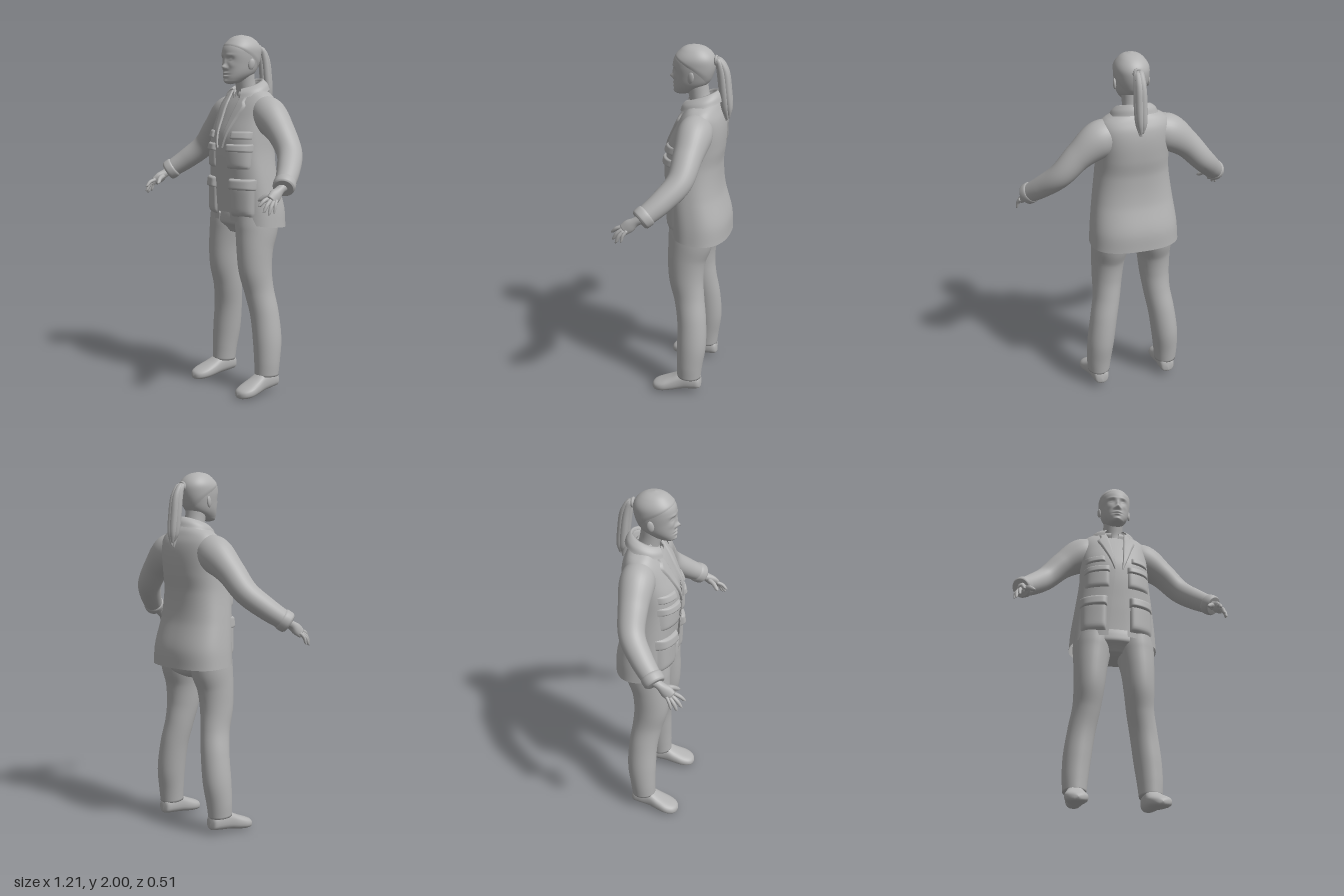
import * as THREE from 'three';
import { mergeVertices } from 'three/addons/utils/BufferGeometryUtils.js';

const grey = new THREE.MeshStandardMaterial({ color: 0xb2b2b2, side: THREE.DoubleSide });
grey.name = 'plain grey';
const V = (x, y, z) => new THREE.Vector3(x, y, z);
const spow = (c, e) => Math.sign(c) * Math.abs(c) ** e;
const TAU = Math.PI * 2;

// Smooth interpolation of rows [key, a, b, ...] by key
function track(rows) {
  const slope = (i, k) => {
    const a = rows[Math.max(i - 1, 0)], b = rows[Math.min(i + 1, rows.length - 1)];
    return (b[k] - a[k]) / (b[0] - a[0]);
  };
  return t => {
    let i = 0;
    while (i < rows.length - 2 && t > rows[i + 1][0]) i++;
    const p = rows[i], q = rows[i + 1], h = q[0] - p[0];
    const s = Math.min(1, Math.max(0, (t - p[0]) / h)), s2 = s * s, s3 = s2 * s;
    return p.slice(1).map((_, j) => {
      const k = j + 1;
      return p[k] * (2 * s3 - 3 * s2 + 1) + q[k] * (3 * s2 - 2 * s3)
        + h * (slope(i, k) * (s3 - 2 * s2 + s) + slope(i + 1, k) * (s3 - s2));
    });
  };
}

// Surface from a function of u and v in 0..1
function grid(fn, nu, nv) {
  const pos = [], idx = [];
  for (let j = 0; j <= nv; j++) for (let i = 0; i <= nu; i++) pos.push(...fn(i / nu, j / nv).toArray());
  for (let j = 0; j < nv; j++) for (let i = 0; i < nu; i++) {
    const a = j * (nu + 1) + i, d = a + nu + 1;
    idx.push(a, a + 1, d + 1, a, d + 1, d);
  }
  let g = new THREE.BufferGeometry();
  g.setAttribute('position', new THREE.Float32BufferAttribute(pos, 3));
  g.setIndex(idx);
  g = mergeVertices(g, 1e-5);
  g.computeVertexNormals();
  return g;
}

// Closed tube along points [x, y, z, sideRadius, frontRadius]
function limb(pts, nu = 24, nv = 40) {
  const curve = new THREE.CatmullRomCurve3(pts.map(p => V(p[0], p[1], p[2])));
  const radii = track(pts.map((p, i) => [i / (pts.length - 1), p[3], p[4] ?? p[3]]));
  return grid((u, v) => {
    const t = Math.min(1, Math.max(0, (v * nv - 1) / (nv - 2)));
    const c = curve.getPoint(t);
    if (v === 0 || v === 1) return c;
    const T = curve.getTangent(t), side = T.clone().cross(V(0, 0, 1)).normalize(), up = side.clone().cross(T);
    const [rs, ru] = radii(t), a = -u * TAU;
    return c.addScaledVector(side, rs * Math.cos(a)).addScaledVector(up, ru * Math.sin(a));
  }, nu, nv);
}

function mirrored(geo) {
  const g = geo.clone().scale(-1, 1, 1), ix = g.index.array;
  for (let i = 0; i < ix.length; i += 3) [ix[i], ix[i + 1]] = [ix[i + 1], ix[i]];
  g.computeVertexNormals();
  return g;
}

// Torso: y -> half width, front z, back z
const torso = track([[0.95, 0.25, 0.075, -0.255], [1.05, 0.243, 0.08, -0.25], [1.2, 0.223, 0.09, -0.21],
  [1.35, 0.203, 0.1, -0.2], [1.45, 0.198, 0.095, -0.212], [1.55, 0.198, 0.055, -0.215],
  [1.62, 0.195, 0.02, -0.205], [1.665, 0.17, -0.01, -0.185], [1.69, 0.125, -0.025, -0.17], [1.715, 0.07, -0.04, -0.14]]);
const opening = track([[0.95, 0.056], [1.2, 0.036], [1.4, 0.02], [1.55, 0.033], [1.68, 0.055], [1.72, 0.055]]);
const N = 2.4;
function torsoPoint(t, y, inset = 0) {
  const [rx, zf, zb] = torso(y), c = (zf + zb) / 2, rz = (zf - zb) / 2 - inset;
  const hem = 0.02 * Math.max(0, 1 - (y - 0.95) / 0.2) * (Math.cos(t) * 0.9 + 0.3 * Math.cos(2 * t));
  return V((rx - inset) * spow(Math.sin(t), 2 / N), y + hem, c + rz * spow(Math.cos(t), 2 / N));
}
function frontZ(x, y) {
  const [rx, zf, zb] = torso(y);
  return (zf + zb) / 2 + (zf - zb) / 2 * Math.max(0, 1 - Math.abs(x / rx) ** N) ** (1 / N);
}

// Padded panel on the jacket front
const pocket = (x0, x1, y0, y1, h) => grid((u, v) => {
  const x = x0 + (x1 - x0) * u, y = y0 + (y1 - y0) * v;
  const pad = (1 - (2 * u - 1) ** 8) * (1 - (2 * v - 1) ** 8) * (1.15 - 0.4 * v);
  return V(x, y, frontZ(x, y) - 0.004 + h * pad);
}, 18, 14);

// Folded collar around the neck
function collar(rTop, rLow, yTop, drop, gap) {
  const fold = track([[0, rLow, -drop], [0.5, (rLow + rTop) / 2 + 0.008, -drop * 0.35], [0.75, rTop, 0], [1, rTop - 0.012, -0.05]]);
  return grid((u, v) => {
    const t = gap + u * (TAU - 2 * gap), [r, dy] = fold(v);
    return V(r * Math.sin(t), yTop - 0.03 * Math.cos(t) + dy, -0.085 + (0.03 + r * 0.68) * Math.cos(t));
  }, 48, 12);
}

// Head: y -> half width, front z, back z
const skull = track([[1.728, 0, 0.035, 0.035], [1.735, 0.03, 0.06, -0.01], [1.755, 0.052, 0.068, -0.06],
  [1.79, 0.073, 0.068, -0.115], [1.84, 0.085, 0.067, -0.142], [1.89, 0.091, 0.072, -0.155],
  [1.93, 0.089, 0.064, -0.153], [1.965, 0.07, 0.037, -0.13], [1.99, 0.04, 0.002, -0.09], [2, 0, -0.042, -0.042]]);
// Face relief: x, y, x spread, y spread, height
const relief = [[0, 1.822, 0.013, 0.013, 0.023], [0, 1.848, 0.009, 0.022, 0.01], [0.017, 1.816, 0.008, 0.008, 0.007],
  [0.036, 1.866, 0.018, 0.012, -0.012], [0.036, 1.864, 0.011, 0.006, 0.007], [0.035, 1.888, 0.025, 0.007, 0.004],
  [0, 1.789, 0.021, 0.006, 0.009], [0, 1.773, 0.018, 0.006, 0.008], [0, 1.781, 0.026, 0.003, -0.006],
  [0, 1.745, 0.018, 0.01, 0.006], [0.045, 1.832, 0.018, 0.015, 0.004]];
function headPoint(t, y, off = 0) {
  const [rx, zf, zb] = skull(y), x = (Math.max(rx, 0) + off) * spow(Math.sin(t), 0.92);
  let z = (zf + zb) / 2 + ((zf - zb) / 2 + off) * spow(Math.cos(t), 0.92);
  if (Math.cos(t) > 0) for (const [fx, fy, sx, sy, h] of relief)
    z += Math.cos(t) * h * Math.exp(-(((Math.abs(x) - fx) / sx) ** 2) - ((y - fy) / sy) ** 2);
  return V(x, y, z);
}
const easeY = v => 1.728 + 0.272 * (v - Math.sin(TAU * v) / TAU * 0.7);

export function createModel() {
  const model = new THREE.Group();
  model.name = 'person';
  const add = (name, geo) => {
    const m = new THREE.Mesh(geo, grey);
    m.name = name;
    model.add(m);
  };
  const pair = (name, geo) => { add(name + 'Left', geo); add(name + 'Right', mirrored(geo)); };

  // Head, hair and neck
  add('head', grid((u, v) => headPoint(u * TAU, easeY(v)), 96, 90));
  add('hair', grid((u, v) => {
    const t = u * TAU, low = 1.875 - 0.01 * Math.cos(2 * t) + 0.075 * Math.cos(t);
    return headPoint(t, low + (2 - low) * Math.sin(v * Math.PI / 2), 0.003 * Math.min(1, v * 12) * (1 - v));
  }, 64, 30));
  add('neck', limb([[0, 1.6, -0.085, 0.064], [0, 1.68, -0.08, 0.058], [0, 1.74, -0.068, 0.056], [0, 1.81, -0.055, 0.06]]));
  const ear = new THREE.SphereGeometry(1, 14, 12).scale(0.009, 0.031, 0.019).rotateX(-0.2).rotateY(-0.35).translate(0.09, 1.838, -0.045);
  pair('ear', ear);

  // Ponytail of overlapping strands
  for (let i = 0; i < 5; i++) {
    const a = i / 5 * TAU, x = Math.sin(a) * 0.015, z = Math.cos(a) * 0.015;
    add('ponytailStrand', limb([[x * 0.3, 1.915, -0.14, 0.014], [x * 0.8, 1.922, -0.172 + z * 0.3, 0.016], [x, 1.87, -0.197 + z, 0.02],
      [x * 1.1, 1.76, -0.213 + z, 0.022], [x, 1.67, -0.223 + z, 0.018], [x * 0.5, 1.595 + 0.008 * i, -0.23 + z * 0.5, 0.005]], 10, 24));
  }
  add('hairTie', new THREE.TorusGeometry(0.021, 0.008, 8, 20).translate(0, 1.92, -0.161));

  // Shirt and open jacket
  add('shirt', grid((u, v) => torsoPoint(u * TAU, 1.0 + 0.7 * v, 0.015), 64, 40));
  add('jacket', grid((u, v) => {
    const y = 0.95 + 0.765 * v, rx = torso(y)[0];
    const g = Math.asin(Math.min(0.95, (opening(y)[0] / rx) ** (N / 2)));
    return torsoPoint(g + u * (TAU - 2 * g), y);
  }, 80, 60));
  add('collar', collar(0.078, 0.132, 1.73, 0.052, 0.55));
  add('shirtCollar', collar(0.066, 0.078, 1.715, 0.035, 0.3));

  // Lapels: y -> inner and outer x
  const edges = track([[1.38, 0.018, 0.024], [1.45, 0.024, 0.052], [1.55, 0.032, 0.09], [1.61, 0.04, 0.112], [1.635, 0.044, 0.092], [1.695, 0.055, 0.1]]);
  pair('lapel', grid((u, v) => {
    const y = 1.38 + 0.315 * v, [a, b] = edges(y), x = a + (b - a) * u;
    return V(x, y, frontZ(x, y) + 0.011 * Math.min(1, 8 * (1 - u)) * Math.min(1, 8 * u + 0.2));
  }, 14, 30));

  // Pockets and flaps
  pair('lowerPocket', pocket(0.066, 0.208, 1.0, 1.19, 0.02));
  pair('lowerPocketFlap', pocket(0.062, 0.212, 1.15, 1.215, 0.03));
  pair('chestPocket', pocket(0.05, 0.19, 1.265, 1.39, 0.016));
  pair('chestPocketFlap', pocket(0.048, 0.192, 1.36, 1.405, 0.025));
  pair('breastFlap', pocket(0.075, 0.185, 1.43, 1.475, 0.018));

  // Sleeves and cuffs
  pair('sleeve', limb([[0.1, 1.585, -0.095, 0.085, 0.08], [0.19, 1.555, -0.092, 0.102, 0.095], [0.3, 1.475, -0.085, 0.077, 0.08],
    [0.4, 1.368, -0.066, 0.066, 0.07], [0.48, 1.285, 0.005, 0.06, 0.062], [0.553, 1.21, 0.092, 0.05, 0.052]], 32, 50));
  pair('cuff', limb([[0.528, 1.235, 0.063, 0.052], [0.535, 1.228, 0.071, 0.059], [0.552, 1.21, 0.093, 0.058], [0.558, 1.204, 0.1, 0.05]], 28, 14));

  // Hands
  pair('palm', limb([[0.545, 1.215, 0.085, 0.03], [0.552, 1.195, 0.12, 0.026, 0.024], [0.56, 1.17, 0.155, 0.022, 0.034], [0.568, 1.147, 0.185, 0.014, 0.03]], 18, 20));
  const fingers = [['thumb', 0.54, 1.18, 0.142, 0.49, 1.143, 0.212, 0.014], ['index', 0.553, 1.16, 0.19, 0.552, 1.122, 0.256, 0.011],
    ['middle', 0.566, 1.15, 0.188, 0.576, 1.092, 0.243, 0.011], ['ring', 0.576, 1.145, 0.178, 0.593, 1.08, 0.222, 0.011], ['little', 0.58, 1.15, 0.162, 0.6, 1.088, 0.192, 0.009]];
  for (const [name, x, y, z, X, Y, Z, r] of fingers)
    pair(name + 'Finger', limb([[x, y, z, r], [(x + X) / 2 + 0.003, (y + Y) / 2 + 0.006, (z + Z) / 2 + 0.002, r * 0.95],
      [x + (X - x) * 0.85, y + (Y - y) * 0.85, z + (Z - z) * 0.85, r * 0.75], [X, Y, Z, r * 0.25]], 10, 14));

  // Trousers
  add('hips', limb([[0, 1.04, -0.075, 0.2, 0.12], [0, 0.98, -0.07, 0.222, 0.13], [0, 0.93, -0.065, 0.205, 0.122], [0, 0.885, -0.055, 0.1, 0.07]], 40, 24));
  pair('trouserLeg', limb([[0.118, 1.0, -0.065, 0.112, 0.13], [0.126, 0.92, -0.055, 0.107, 0.125], [0.135, 0.82, -0.038, 0.095, 0.108], [0.142, 0.7, -0.036, 0.086, 0.098],
    [0.152, 0.58, -0.056, 0.078, 0.086], [0.175, 0.45, -0.076, 0.077, 0.083], [0.196, 0.3, -0.081, 0.077, 0.083],
    [0.206, 0.18, -0.073, 0.071, 0.074], [0.208, 0.1, -0.068, 0.064, 0.069]], 32, 60));

  // Shoes: z -> centre x, half width, bottom, top
  const shoe = track([[-0.142, 0.205, 0, 0.045, 0.06], [-0.135, 0.205, 0.033, 0.033, 0.1], [-0.1, 0.206, 0.047, 0.027, 0.125], [-0.03, 0.21, 0.05, 0.018, 0.125],
    [0.03, 0.216, 0.059, 0.008, 0.095], [0.08, 0.221, 0.063, 0.002, 0.073], [0.12, 0.222, 0.05, 0.001, 0.056], [0.14, 0.221, 0.027, 0.006, 0.042], [0.147, 0.221, 0, 0.02, 0.024]]);
  pair('shoe', grid((u, v) => {
    const z = -0.142 + 0.289 * (1 - Math.cos(v * Math.PI)) / 2, [cx, w, lo, hi] = shoe(z), a = u * TAU;
    return V(cx + w * spow(Math.cos(a), 0.8), (lo + hi) / 2 + (hi - lo) / 2 * spow(Math.sin(a), 0.8), z);
  }, 28, 36));
  return model;
}
